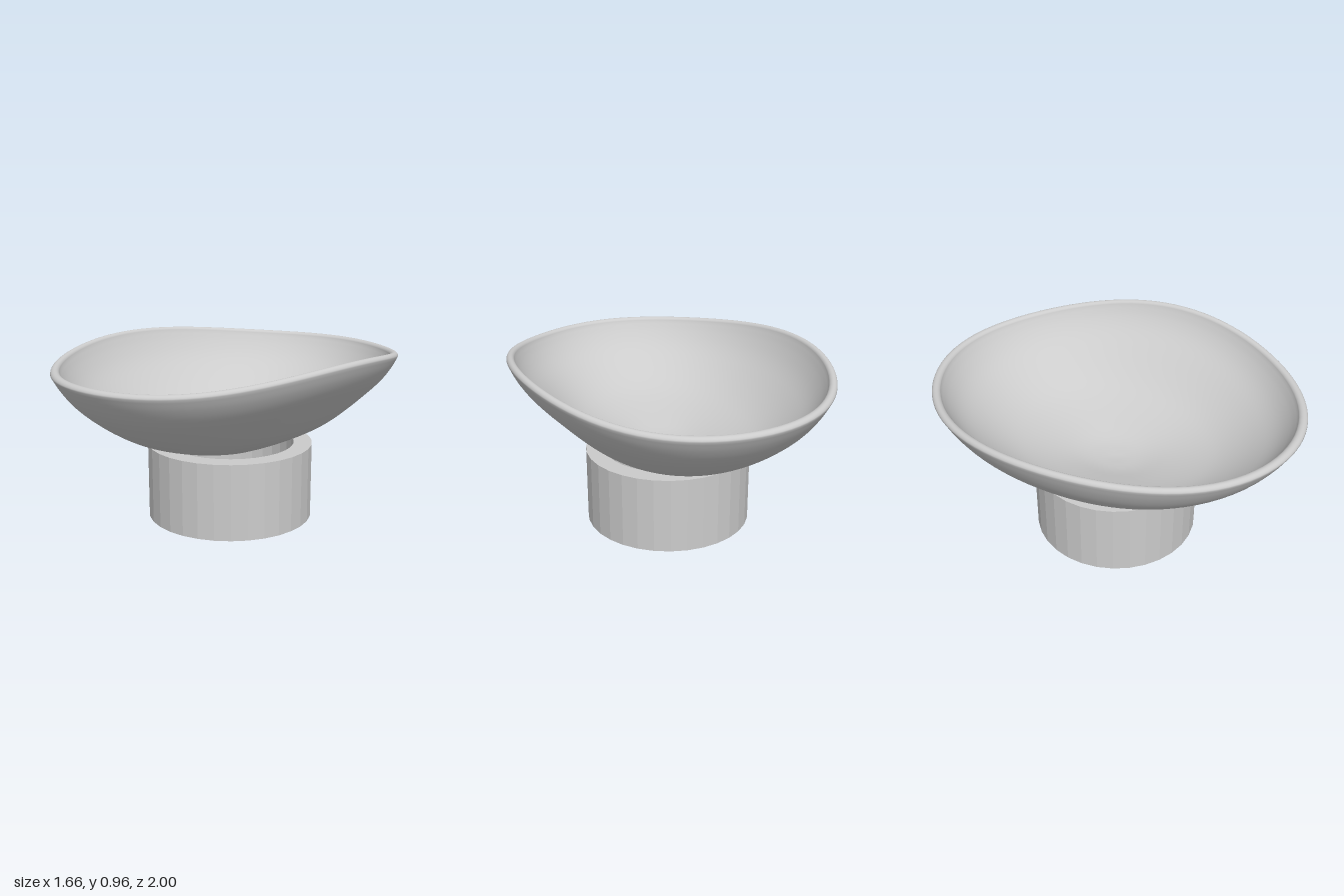
import * as THREE from 'three';

const SEG = 96;

// Rim crown height around the oval: high at the two sides, higher on the left (+x)
const rimTop = (c) => 0.87 + (c > 0 ? 0.09 : 0.06) * c ** 4;

// Half section of the bowl wall: x = radius fraction, y = height fraction
const wall = new THREE.CatmullRomCurve3(
  [[0, 0], [0.15, 0.025], [0.3, 0.095], [0.48, 0.195], [0.6, 0.285], [0.72, 0.42],
    [0.84, 0.6], [0.91, 0.735], [0.965, 0.88], [1, 1]].map(([r, h]) => new THREE.Vector3(r, h, 0)),
).getPoints(36);

// Each station returns [radius fraction, y] for a direction with cosine c
function makeStations() {
  const lift = (h, c) => h + 0.07 * Math.max(0, c) ** 2 * Math.sin(Math.PI * h) ** 2;
  const outer = wall.map((p) => (c) => {
    const edge = rimTop(c) - 0.022;
    return [p.x, THREE.MathUtils.lerp(0.36, edge, lift(p.y, c))];
  });
  const rim = [];
  for (let i = 1; i < 10; i++) {
    const a = (i / 10) * Math.PI;
    rim.push((c) => [0.975 + 0.025 * Math.cos(a), rimTop(c) - 0.022 + 0.022 * Math.sin(a)]);
  }
  const inner = wall.slice().reverse().map((p) => (c) => {
    const edge = rimTop(c) - 0.022;
    return [p.x * 0.95, THREE.MathUtils.lerp(0.41, edge, lift(p.y, c))];
  });
  return [...outer, ...rim, ...inner];
}

// Skin the stations around the oval plan
function bowlGeometry() {
  const stations = makeStations();
  const pos = [];
  const index = [];
  stations.forEach((station, i) => {
    for (let j = 0; j < SEG; j++) {
      const a = (j / SEG) * Math.PI * 2;
      const c = Math.cos(a);
      const [r, y] = station(c);
      pos.push(0.83 * r * c, y, r * Math.sin(a));
      if (i === stations.length - 1) continue;
      const k = (j + 1) % SEG;
      const p = i * SEG + j;
      const q = i * SEG + k;
      if (i > 0) index.push(p, p + SEG, q);
      if (i < stations.length - 2) index.push(q, p + SEG, q + SEG);
      else index.push(q, p + SEG, q + SEG);
    }
  });
  const geo = new THREE.BufferGeometry();
  geo.setAttribute('position', new THREE.Float32BufferAttribute(pos, 3));
  geo.setIndex(index);
  geo.computeVertexNormals();
  // Pole vertices share one vertical normal
  const n = geo.attributes.normal;
  for (let j = 0; j < SEG; j++) {
    n.setXYZ(j, 0, -1, 0);
    n.setXYZ(n.count - 1 - j, 0, 1, 0);
  }
  return geo;
}

export function createModel() {
  const group = new THREE.Group();

  const bowl = new THREE.Mesh(bowlGeometry(), new THREE.MeshStandardMaterial({ color: 0xcccccc }));
  bowl.name = 'bowl';
  group.add(bowl);

  // Hollow faceted foot
  const section = [[0.35, 0], [0.45, 0], [0.45, 0.41], [0.35, 0.41], [0.35, 0]]
    .map(([r, y]) => new THREE.Vector2(r, y));
  const foot = new THREE.Mesh(
    new THREE.LatheGeometry(section, 32),
    new THREE.MeshStandardMaterial({ color: 0xcccccc, flatShading: true }),
  );
  foot.name = 'foot';
  group.add(foot);

  return group;
}
